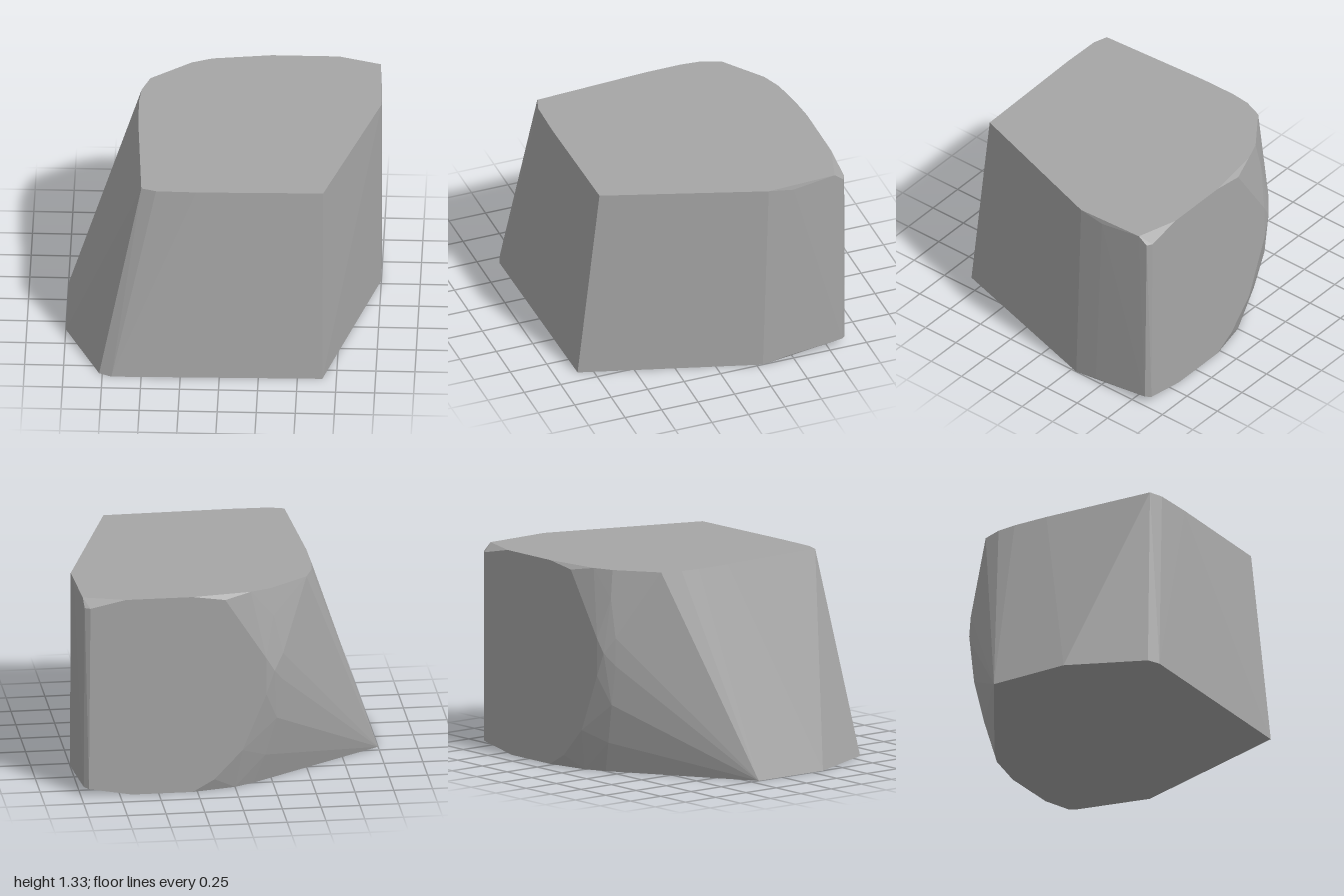
import * as THREE from 'three';
import { ConvexGeometry } from 'three/addons/geometries/ConvexGeometry.js';

const H = 1.33;

// Outline of the flat base, [x, z]
const base = [
  [-1, 0.34], [-0.77, 0.835], [-0.69, 0.87], [0.66, 0.85], [1, -0.29],
  [0.67, -0.87], [0.28, -0.87], [0, -0.81], [-0.13, -0.745], [-1, -0.19],
];

// Outline of the flat top, [x, z]
const top = [
  [-0.55, -0.08], [-0.505, 0.68], [-0.41, 0.71], [-0.15, 0.715], [0.66, 0.7], [1, -0.33],
  [0.98, -0.79], [0.71, -0.87], [0.28, -0.87], [-0.1, -0.82], [-0.23, -0.77],
  [-0.49, -0.58], [-0.54, -0.45], [-0.553, -0.32],
];

// Worn rear edges, [x, y, z]
const worn = [
  // right rear edge
  [0.98, 0.055, -0.84], [0.95, 0.05, -0.87], [0.975, 1.28, -0.85], [0.94, 1.28, -0.87],
  [0.998, 0.025, -0.45], [0.998, 1.3, -0.5],
  // border of the rear face
  [0.07, 1.3, -0.87], [-0.05, 1.09, -0.87], [-0.195, 0.89, -0.87],
  [-0.195, 0.645, -0.87], [-0.04, 0.27, -0.87], [0.14, 0.08, -0.87],
  // left rear edge
  [-0.02, 1.26, -0.85], [-0.25, 1.15, -0.8], [-0.31, 0.9, -0.81], [-0.31, 0.72, -0.81],
  [-0.25, 0.8, -0.86], [-0.27, 0.46, -0.81], [-0.2, 0.2, -0.78],
];

export function createModel() {
  const stone = new THREE.MeshStandardMaterial({ color: 0xa6a6a6 });
  stone.name = 'stone grey';

  // The boulder is the convex hull of its base, top and worn edges
  const points = [
    ...base.map(([x, z]) => new THREE.Vector3(x, 0, z)),
    ...top.map(([x, z]) => new THREE.Vector3(x, H, z)),
    ...worn.map((p) => new THREE.Vector3(...p)),
  ];
  const boulder = new THREE.Mesh(new ConvexGeometry(points), stone);
  boulder.name = 'boulder';

  const group = new THREE.Group();
  group.name = 'rock';
  group.add(boulder);
  return group;
}
